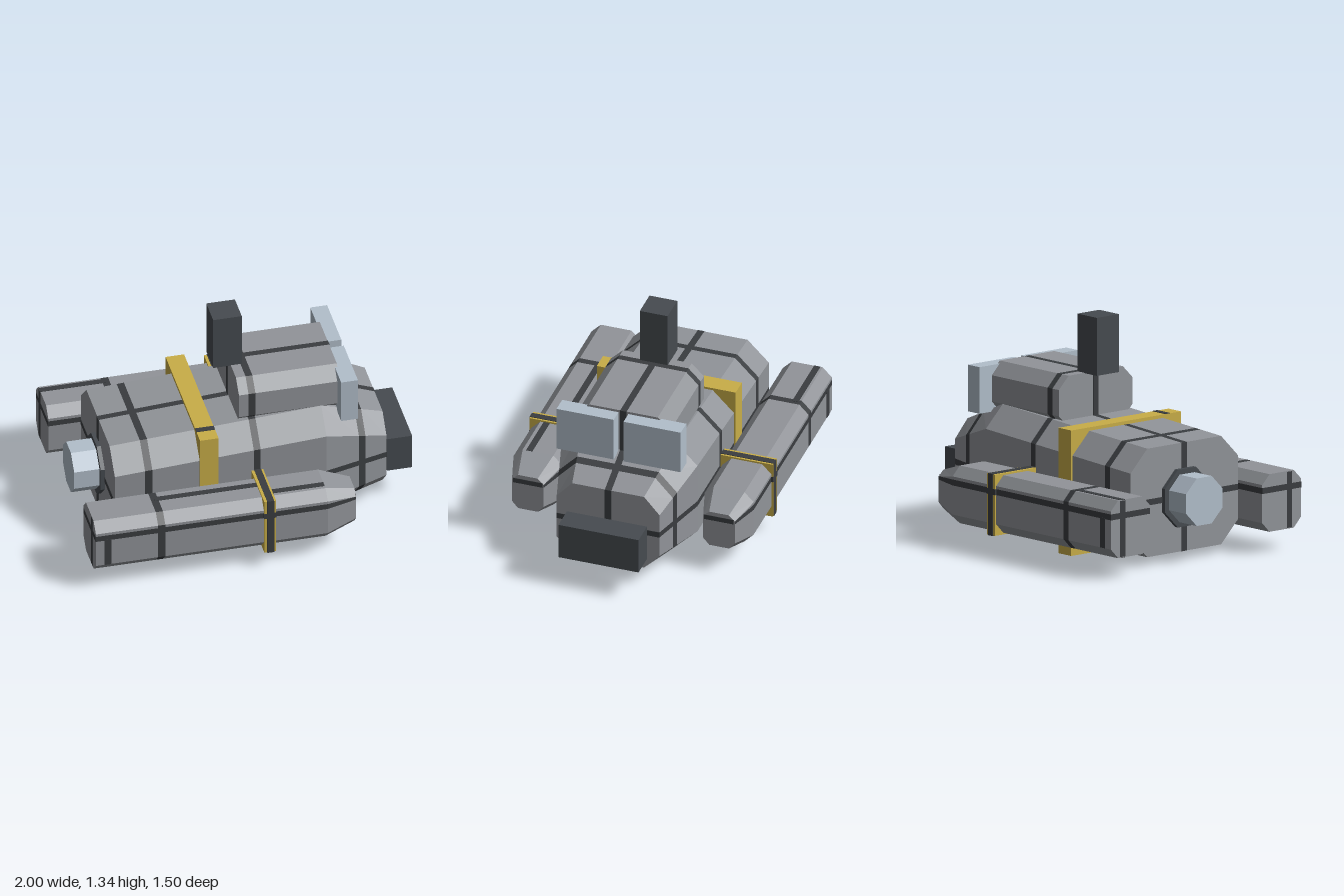
import * as THREE from 'three';

const mat = (name, color) => Object.assign(new THREE.MeshStandardMaterial({ color }), { name });

export function createModel() {
  const hullGrey = mat('hull grey', 0x919499);
  const seamDark = mat('seam dark', 0x3a3d40);
  const boxDark = mat('equipment dark', 0x464b50);
  const yellow = mat('strap yellow', 0xc9ae48);
  const pale = mat('pale blue grey', 0xb2bfcb);
  const root = new THREE.Group();
  root.name = 'ship';

  // Box given by its low and high limits on each axis
  function box(name, material, [x0, x1], [y0, y1], [z0, z1], parent = root) {
    const m = new THREE.Mesh(new THREE.BoxGeometry(x1 - x0, y1 - y0, z1 - z0), material);
    m.position.set((x0 + x1) / 2, (y0 + y1) / 2, (z0 + z1) / 2);
    m.name = name;
    parent.add(m);
    return m;
  }

  // Section: [x, bottom, lower edge, upper edge, top, half width, half flat]
  function ring([x, y0, e0, e1, y1, hz, fz], side, top) {
    const p = [];
    const add = (z, y, dark = false) => p.push({ v: [x, y, z], dark });
    const s = side && side.map(y => Math.min(Math.max(y, e0), e1));
    add(fz, y0);
    if (top) { add(top, y0, true); add(-top, y0); }
    add(-fz, y0);
    add(-hz, e0);
    if (s) { add(-hz, s[0], true); add(-hz, s[1]); }
    add(-hz, e1);
    add(-fz, y1);
    if (top) { add(-top, y1, true); add(top, y1); }
    add(fz, y1);
    add(hz, e1);
    if (s) { add(hz, s[1], true); add(hz, s[0]); }
    add(hz, e0);
    return p;
  }

  // Chamfered body lofted along x, with dark seams around and along it
  function body(name, keys, bands, side, top) {
    const at = x => {
      let i = 0;
      while (i < keys.length - 2 && x > keys[i + 1][0]) i++;
      const t = (x - keys[i][0]) / (keys[i + 1][0] - keys[i][0]);
      return keys[i].map((a, k) => a + (keys[i + 1][k] - a) * t);
    };
    const xs = [...keys.map(k => k[0]), ...bands.flat()].sort((a, b) => a - b);
    const rings = xs.map(x => ring(at(x), side, top));
    const grey = [], dark = [];
    for (let r = 0; r < rings.length - 1; r++) {
      const a = rings[r], b = rings[r + 1], mid = (xs[r] + xs[r + 1]) / 2;
      const banded = bands.some(([lo, hi]) => mid > lo && mid < hi);
      a.forEach((p, i) => {
        const j = (i + 1) % a.length;
        (banded || p.dark ? dark : grey).push(
          ...p.v, ...a[j].v, ...b[j].v, ...p.v, ...b[j].v, ...b[i].v);
      });
    }
    const first = rings[0], last = rings[rings.length - 1];
    for (let i = 1; i < first.length - 1; i++) {
      grey.push(...first[0].v, ...first[i + 1].v, ...first[i].v);
      grey.push(...last[0].v, ...last[i].v, ...last[i + 1].v);
    }
    const g = new THREE.BufferGeometry();
    g.setAttribute('position', new THREE.Float32BufferAttribute([...grey, ...dark], 3));
    g.addGroup(0, grey.length / 3, 0);
    g.addGroup(grey.length / 3, dark.length / 3, 1);
    g.computeVertexNormals();
    const m = new THREE.Mesh(g, [hullGrey, seamDark]);
    m.name = name;
    return m;
  }

  const seamY = [0.355, 0.39];
  const bandBack = [-0.63, -0.587], bandMid = [0.017, 0.058], bandFront = [0.655, 0.697];

  // Main hull
  root.add(body('hull', [
    [-0.81, 0.05, 0.18, 0.56, 0.69, 0.415, 0.285],
    [0.45, 0.05, 0.18, 0.635, 0.765, 0.415, 0.285],
    [0.83, 0.125, 0.225, 0.508, 0.615, 0.315, 0.22],
  ], [bandBack, bandMid, bandFront], seamY, 0.02));
  box('hullFrontSeam', seamDark, [0.829, 0.833], [0.125, 0.615], [-0.02, 0.02]);
  box('hullFrontSeam', seamDark, [0.829, 0.833], seamY, [-0.315, 0.315]);
  box('hullBackSeam', seamDark, [-0.813, -0.809], [0.05, 0.69], [-0.02, 0.02]);
  box('hullBackSeam', seamDark, [-0.813, -0.809], seamY, [-0.415, 0.415]);

  // Upper cabin
  root.add(body('cabin', [
    [-0.04, 0.69, 0.765, 0.92, 0.995, 0.285, 0.21],
    [0.56, 0.69, 0.765, 0.92, 0.995, 0.285, 0.21],
  ], [bandMid], null, 0.02));
  for (const x of [-0.041, 0.561]) {
    box('cabinEndSeam', seamDark, [x - 0.002, x + 0.002], [0.7, 0.995], [-0.02, 0.02]);
  }

  // Mast, nose block and front panels
  box('mast', boxDark, [-0.145, 0.025], [0.993, 1.335], [-0.085, 0.085]);
  box('noseBlock', boxDark, [0.85, 1.0], [0.203, 0.427], [-0.245, 0.245]);
  box('leftPanel', pale, [0.545, 0.645], [0.705, 0.98], [-0.38, -0.03]);
  box('rightPanel', pale, [0.545, 0.645], [0.705, 0.98], [0.03, 0.38]);

  // Hull strap
  box('hullStrap', yellow, [-0.305, -0.195], [0, 0.74], [-0.425, 0.425]);
  box('strapTopSeam', seamDark, [-0.305, -0.195], [0.738, 0.743], [0.302, 0.338]);
  box('strapFrontSeam', seamDark, [-0.197, -0.192], [0.028, 0.065], [0.02, 0.425]);
  box('strapFrontSeam', seamDark, [-0.197, -0.192], [0, 0.05], [-0.02, 0.02]);

  // Rear thruster and its flange
  for (const [name, material, apothem, x0, x1] of [
    ['thrusterFlange', boxDark, 0.17, -0.835, -0.81],
    ['thruster', pale, 0.14, -0.985, -0.835],
  ]) {
    const r = apothem / Math.cos(Math.PI / 8);
    const g = new THREE.CylinderGeometry(r, r, x1 - x0, 8).toNonIndexed();
    g.rotateY(Math.PI / 8).rotateZ(Math.PI / 2);
    g.computeVertexNormals();
    const m = new THREE.Mesh(g, material);
    m.position.set((x0 + x1) / 2, 0.37, 0);
    m.name = name;
    root.add(m);
  }

  // Side pods with straps and pylons
  for (const s of [-1, 1]) {
    const pod = new THREE.Group();
    pod.name = s > 0 ? 'frontPod' : 'backPod';
    pod.position.z = s * 0.585;
    pod.add(body('podBody', [
      [-1, 0.125, 0.183, 0.408, 0.465, 0.15, 0.094],
      [0.38, 0.125, 0.183, 0.408, 0.465, 0.15, 0.094],
      [0.56, 0.18, 0.222, 0.375, 0.41, 0.097, 0.06],
    ], [bandBack, bandMid], seamY));
    box('podStrap', yellow, [0, 0.07], [0.115, 0.475], [-0.16, 0.16], pod);
    box('podStrapSeam', seamDark, bandMid, [0.112, 0.478], [-0.163, 0.163], pod);
    box('podStrapSideSeam', seamDark, [-0.002, 0.072], seamY, [-0.162, 0.162], pod);
    box('podFrontSeam', seamDark, [0.559, 0.563], [0.355, 0.385], [-0.09, 0.09], pod);
    box('podBackSeam', seamDark, [-1.002, -0.998], seamY, [-0.15, 0.15], pod);
    box('podBackSeam', seamDark, [-1.002, -0.998], [0.13, 0.46], s > 0 ? [0.04, 0.08] : [-0.08, -0.04], pod);
    root.add(pod);
    box('pylon', hullGrey, [-0.4, 0], [0.26, 0.345], s > 0 ? [0.4, 0.45] : [-0.45, -0.4]);
  }

  // Lengthwise pod seams, above and below
  for (const y of [0.465, 0.125]) {
    const span = [y - 0.002, y + 0.002];
    box('backPodSeam', seamDark, [-1, -0.61], span, [-0.665, -0.627]);
    box('frontPodSeam', seamDark, [-0.61, 0], span, [0.535, 0.573]);
    box('frontPodSeam', seamDark, [0.06, 0.38], span, [0.62, 0.658]);
  }
  box('frontPodSideSeam', seamDark, [-0.95, -0.908], [0.183, 0.36], [0.733, 0.737]);
  box('backPodSideSeam', seamDark, [-0.95, -0.908], [0.183, 0.36], [-0.737, -0.733]);

  return root;
}
